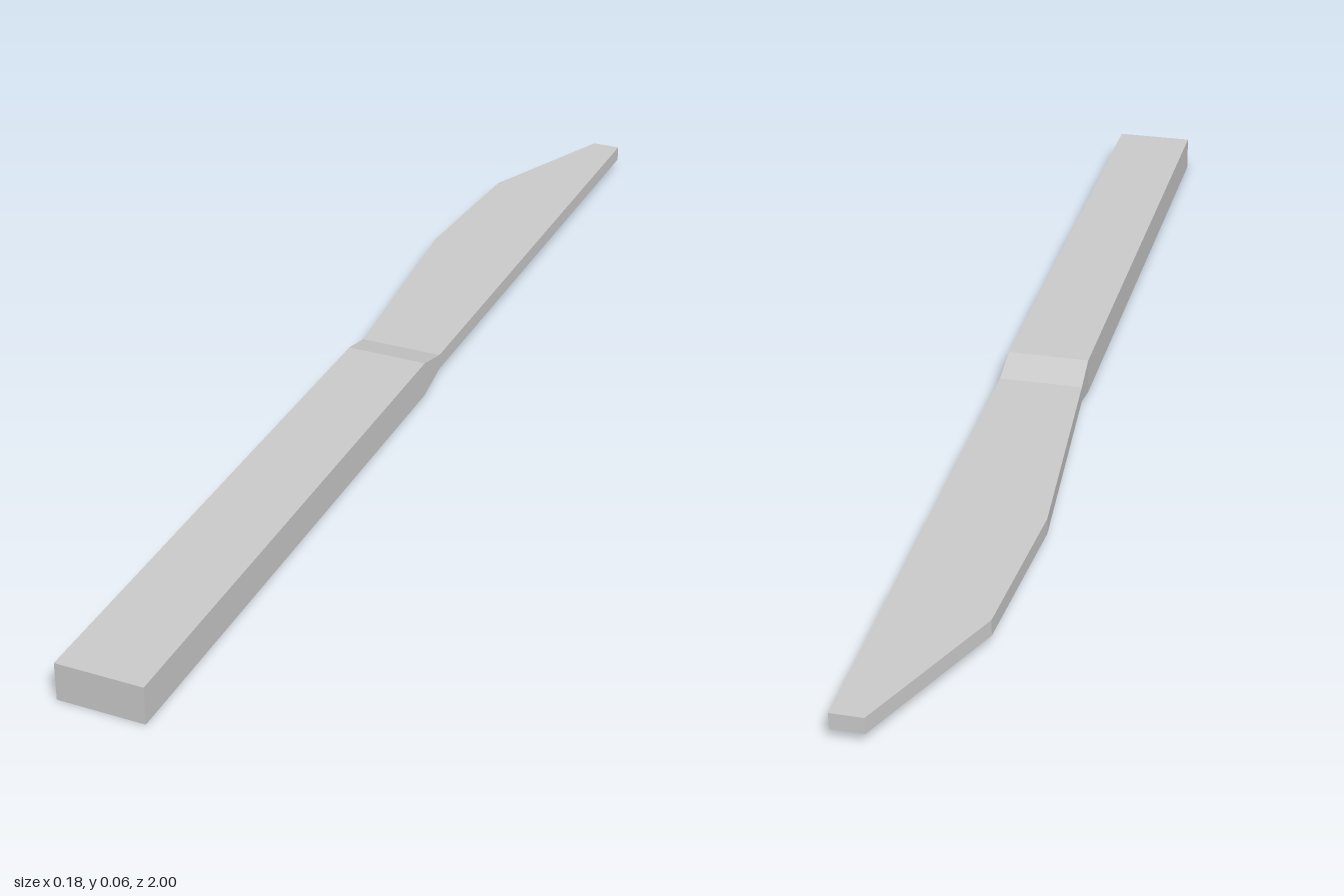
import * as THREE from 'three';

// Cross-sections from front to back: [z, edge x, bottom y, top y]; the spine is straight
const SPINE = 0.089;
const handleEnd = [0.02, -0.05, 0, 0.062];
const bladeStart = [-0.045, -0.053, 0.018, 0.045];

// Joins rectangular sections into a flat-sided body, closing the chosen ends
function loft(sections, capFront, capBack) {
  const rings = sections.map(([z, x, y0, y1]) => [
    [x, y0, z], [SPINE, y0, z], [SPINE, y1, z], [x, y1, z],
  ]);
  const pos = [];
  const quad = (a, b, c, d) => pos.push(...a, ...b, ...c, ...a, ...c, ...d);
  for (let s = 0; s < rings.length - 1; s++) {
    for (let i = 0; i < 4; i++) {
      const j = (i + 1) % 4;
      quad(rings[s][i], rings[s + 1][i], rings[s + 1][j], rings[s][j]);
    }
  }
  if (capFront) quad(...rings[0]);
  if (capBack) quad(...rings[rings.length - 1].slice().reverse());
  const geometry = new THREE.BufferGeometry();
  geometry.setAttribute('position', new THREE.Float32BufferAttribute(pos, 3));
  geometry.computeVertexNormals();
  return geometry;
}

export function createModel() {
  const group = new THREE.Group();
  group.name = 'knife';
  const material = new THREE.MeshStandardMaterial({ color: 0xcccccc, flatShading: true });
  const add = (name, sections, capFront, capBack) => {
    const mesh = new THREE.Mesh(loft(sections, capFront, capBack), material);
    mesh.name = name;
    group.add(mesh);
  };

  // Thick straight handle
  add('handle', [[1, -0.05, 0, 0.062], handleEnd], true, false);

  // Tapered neck between handle and blade
  add('neck', [handleEnd, bladeStart], false, false);

  // Thin blade with a bellied cutting edge and a clipped tip
  add('blade', [
    bladeStart,
    [-0.46, -0.089, 0.018, 0.045],
    [-0.74, -0.072, 0.018, 0.045],
    [-1, 0.038, 0.018, 0.045],
  ], false, true);

  return group;
}
